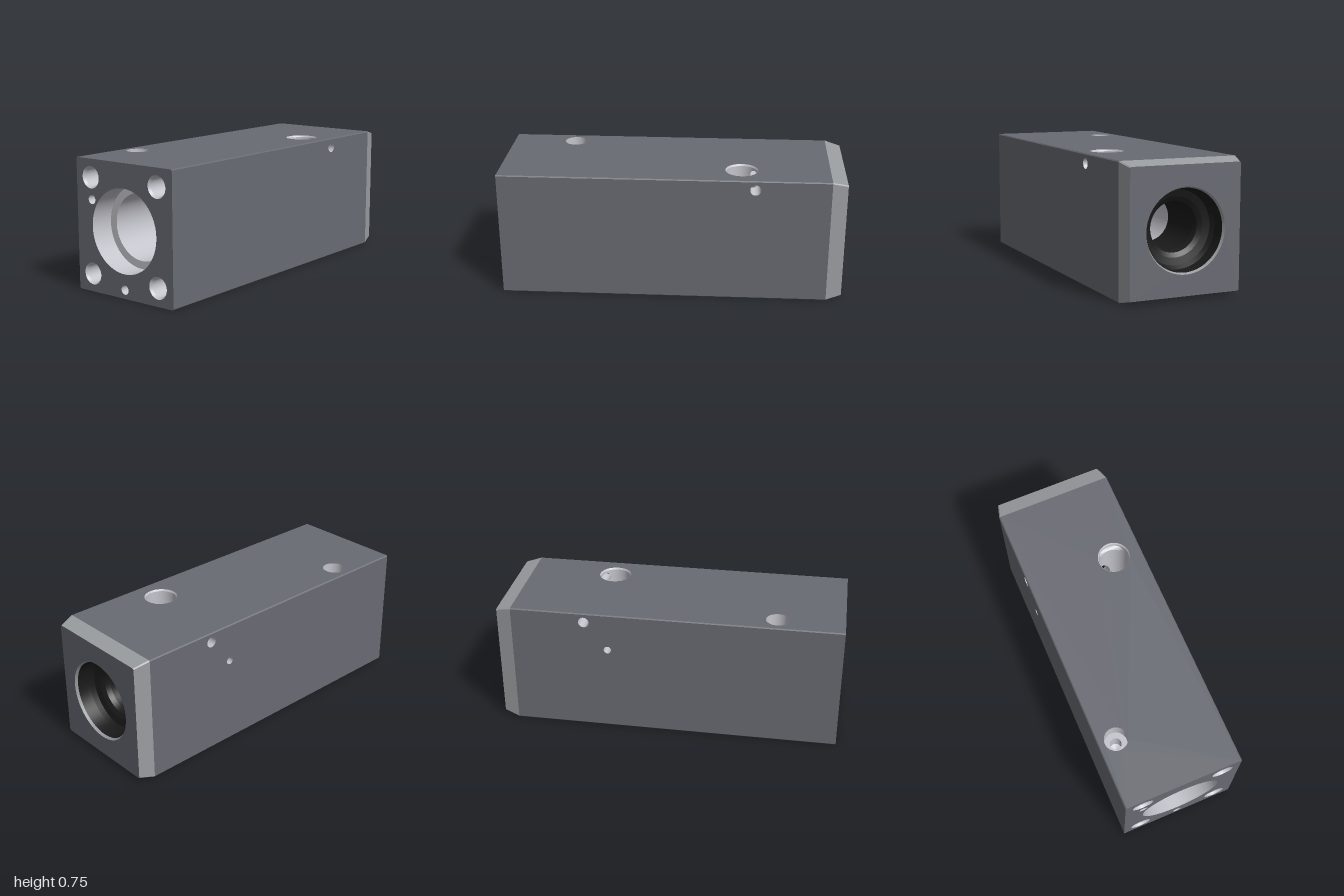
import * as THREE from 'three';

const H = 0.745, W = 0.348, CY = H / 2;   // height, half depth, bore axis height
const TAPER = 0.91, EDGE = 0.006, SEG = 96;

const paint = (color) => new THREE.MeshStandardMaterial({ color, side: THREE.DoubleSide });
const half = (r, d) => Math.sqrt(Math.max(0, r * r - d * d));

// a, b are the two coordinates across the axis, t the one along it
const place = {
  x: (t, y, z) => [t, y, z],
  y: (t, x, z) => [x, t, z],
  z: (t, x, y) => [x, y, t],
};

function circle(a, b, r) {
  return Array.from({ length: SEG }, (_, i) => {
    const q = (i / SEG) * Math.PI * 2;
    return new THREE.Vector2(a + r * Math.cos(q), b + r * Math.sin(q));
  });
}

export function createModel() {
  const group = new THREE.Group();
  const dark = paint(0x696b73), bright = paint(0x9a9da0), bare = paint(0xc4c4cc), black = paint(0x1a1a1a);

  function add(name, geometry, material) {
    geometry.computeVertexNormals();
    const mesh = new THREE.Mesh(geometry, material);
    mesh.name = name;
    group.add(mesh);
  }

  // Flat face across an axis, with round holes [a, b, radius]
  function panel(name, axis, t, outline, holes) {
    const shape = new THREE.Shape(outline);
    holes.forEach(([a, b, r]) => shape.holes.push(new THREE.Path(circle(a, b, r))));
    const geo = new THREE.ShapeGeometry(shape);
    const p = geo.attributes.position;
    for (let i = 0; i < p.count; i++) p.setXYZ(i, ...place[axis](t, p.getX(i), p.getY(i)));
    add(name, geo, dark);
  }

  // Hole wall from a profile of [t, radius]; t may be a function where the hole meets another
  function hole(name, axis, a, b, profile, material = bare) {
    for (let k = 0; k + 1 < profile.length; k++) {
      const pos = [], idx = [];
      for (const [t, r] of [profile[k], profile[k + 1]]) {
        for (const { x, y } of circle(a, b, r)) {
          pos.push(...place[axis](typeof t === 'function' ? t(x, y) : t, x, y));
        }
      }
      for (let i = 0; i < SEG; i++) {
        const j = (i + 1) % SEG;
        idx.push(i, j, SEG + i, j, SEG + j, SEG + i);
      }
      const geo = new THREE.BufferGeometry();
      geo.setAttribute('position', new THREE.Float32BufferAttribute(pos, 3));
      geo.setIndex(idx);
      add(name, geo, material);
    }
  }

  function quad(name, corners, material) {
    const geo = new THREE.BufferGeometry();
    geo.setAttribute('position', new THREE.Float32BufferAttribute(corners.flat(), 3));
    geo.setIndex([0, 1, 2, 0, 2, 3]);
    add(name, geo, material);
  }

  const rect = (a0, a1, b0, b1) => [[a0, b0], [a1, b0], [a1, b1], [a0, b1]].map((p) => new THREE.Vector2(...p));

  // Cross-section (y, z) with slightly broken corners, shrunk by d
  function section(d) {
    const w = W - d, top = H - d, e = EDGE;
    return [[d, e - w], [d, w - e], [d + e, w], [top - e, w], [top, w - e], [top, e - w], [top - e, -w], [d + e, -w]]
      .map((p) => new THREE.Vector2(...p));
  }

  // Sizes of the holes
  const port = { x: 0.4, z: 0.18, r: 0.089, rim: 0.095 };
  const pin = { x: 0.48, y: 0.69, r: 0.031 };
  const feed = { x: -0.62, z: -0.243, r: 0.067 };
  const side = { x: 0.345, y: 0.52, r: 0.022 };
  const passage = { y: 0.52, z: -0.235, r: 0.026 };
  const dowel = { y: 0.05, z: 0, r: 0.026 };
  const BORE = 0.19, REAR = 0.235;
  const bolts = [];
  for (const y of [-0.27, 0.27]) for (const z of [-0.241, 0.241]) bolts.push([CY + y, z, 0.062]);

  // Body faces
  const long = rect(-1, TAPER, EDGE, H - EDGE), flat = rect(-1, TAPER, EDGE - W, W - EDGE);
  panel('frontFace', 'z', W, long, [[pin.x, pin.y, pin.r]]);
  panel('backFace', 'z', -W, long, [[pin.x, pin.y, pin.r], [side.x, side.y, side.r]]);
  panel('topFace', 'y', H, flat, [[port.x, port.z, port.rim], [feed.x, feed.z, feed.r]]);
  panel('bottomFace', 'y', 0, flat, [[port.x, port.z, port.rim]]);
  panel('rightEndFace', 'x', -1, section(0), [[CY, 0, REAR], ...bolts,
    [passage.y, passage.z, passage.r], [dowel.y, dowel.z, dowel.r]]);
  panel('leftEndFace', 'x', 1, section(0.023), [[CY, 0, 0.233]]);

  // Tapered nose and broken long edges
  const big = section(0), small = section(0.023);
  for (let i = 0; i < 8; i++) {
    const j = (i + 1) % 8;
    const at = (x, p) => [x, p.x, p.y];
    quad('noseChamfer', [at(TAPER, big[i]), at(TAPER, big[j]), at(1, small[j]), at(1, small[i])], bright);
    if (i % 2) quad('longEdge', [at(-1, big[i]), at(-1, big[j]), at(TAPER, big[j]), at(TAPER, big[i])], dark);
  }

  // Main bore, opened where the cross port cuts into it
  const cut = (y, z) => half(port.r, z - port.z);
  hole('mainBore', 'x', CY, 0, [[-1, REAR], [-0.86, REAR], [-0.86, BORE], [(y, z) => port.x - cut(y, z), BORE]]);
  hole('mainBore', 'x', CY, 0, [[(y, z) => port.x + cut(y, z), BORE], [0.55, BORE]]);
  hole('boreRim', 'x', CY, 0, [[1, 0.233], [0.985, 0.225]], bright);
  hole('bushing', 'x', CY, 0, [[0.985, 0.225], [0.91, 0.222], [0.885, 0.205], [0.875, 0.165],
    [0.86, 0.14], [0.83, 0.13], [0.55, 0.13], [0.55, BORE]], black);

  // Cross port through top and bottom, with the pin hole breaking its wall
  const gap = (x) => half(pin.r, x - pin.x);
  const rise = (x, z) => half(BORE, z);
  hole('crossPort', 'y', port.x, port.z, [[H, port.rim], [H - 0.01, port.r], [(x) => pin.y + gap(x), port.r]]);
  hole('crossPort', 'y', port.x, port.z, [[(x) => pin.y - gap(x), port.r], [(x, z) => CY + rise(x, z), port.r]]);
  hole('crossPort', 'y', port.x, port.z, [[0, port.rim], [0.01, port.r], [(x, z) => CY - rise(x, z), port.r]]);

  // Pin hole from front to back, interrupted by the cross port
  for (const s of [1, -1]) {
    hole('pinHole', 'z', pin.x, pin.y, [[s * W, pin.r], [(x) => port.z + s * half(port.r, x - port.x), pin.r]]);
  }

  // Counterbored feed hole, side hole and the passage joining them
  hole('feedHole', 'y', feed.x, feed.z, [[H, feed.r], [0.64, feed.r], [0.64, 0.033], [0.52, 0.033], [0.51, 0]]);
  hole('sideHole', 'z', side.x, side.y, [[-W, side.r], [passage.z, side.r], [passage.z + 0.01, 0]]);
  hole('passage', 'x', passage.y, passage.z, [[-1, passage.r], [-0.8, passage.r], [-0.79, 0]]);

  // Blind holes in the end face
  hole('dowelHole', 'x', dowel.y, dowel.z, [[-1, dowel.r], [-0.88, dowel.r], [-0.87, 0]]);
  bolts.forEach(([y, z, r]) => hole('boltHole', 'x', y, z, [[-1, r], [-0.985, 0.053], [-0.76, 0.053], [-0.73, 0]]));

  return group;
}
